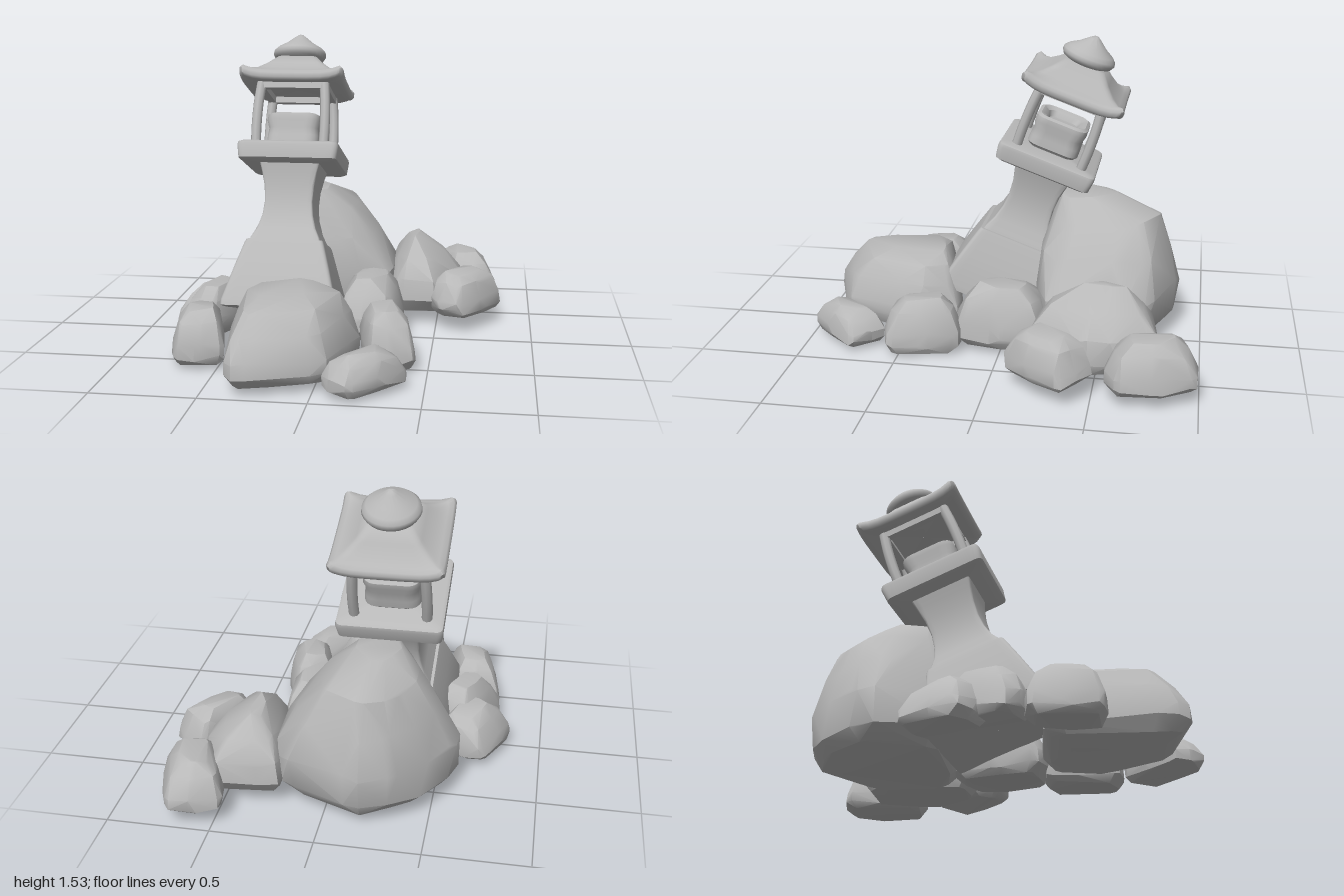
import * as THREE from 'three';
import { toCreasedNormals } from 'three/addons/utils/BufferGeometryUtils.js';
import { ConvexGeometry } from 'three/addons/geometries/ConvexGeometry.js';

const stone = new THREE.MeshStandardMaterial({ name: 'grey stone', color: 0xb8b8b8 });

function addMesh(parent, name, geometry, crease = 0.7) {
  const mesh = new THREE.Mesh(crease ? toCreasedNormals(geometry, crease) : geometry, stone);
  mesh.name = name;
  parent.add(mesh);
  return mesh;
}

// Stack of rounded squares; section = [y, half width, corner radius, corner lift]
function squareLoft(sections) {
  const pos = [], index = [];
  let n = 0;
  for (const [y, half, radius = 0.02, lift = 0] of sections) {
    const r = Math.min(radius, half * 0.5), c = half - r, ring = [];
    for (let s = 0; s < 4; s++) {
      const side = [];
      for (const t of [-0.85, -0.65, -0.35, 0, 0.35, 0.65, 0.85]) side.push([half, c * t]);
      for (let k = 0; k <= 4; k++) {
        const a = (k / 4) * Math.PI / 2;
        side.push([c + r * Math.cos(a), c + r * Math.sin(a)]);
      }
      const co = [1, 0, -1, 0][s], si = [0, 1, 0, -1][s];
      for (const [x, z] of side) ring.push([x * co - z * si, x * si + z * co]);
    }
    n = ring.length;
    for (const [x, z] of ring) {
      pos.push(x, y + lift * (Math.min(Math.abs(x), Math.abs(z)) / half) ** 5, z);
    }
  }
  for (let i = 0; i < sections.length - 1; i++) {
    for (let j = 0; j < n; j++) {
      const a = i * n + j, b = i * n + (j + 1) % n;
      index.push(a, a + n, b, b, a + n, b + n);
    }
  }
  const g = new THREE.BufferGeometry();
  g.setAttribute('position', new THREE.Float32BufferAttribute(pos, 3));
  g.setIndex(index);
  return g;
}

function seededRandom(seed) {
  let s = seed * 7919 + 17;
  return () => ((s = (s * 16807) % 2147483647) / 2147483647) - 0.5;
}

// Boulder: hull of a softened ground outline repeated at rings [y, x scale, z scale, dx, dz]
function boulder(outline, rings, seed) {
  const rnd = seededRandom(seed);
  const cx = outline.reduce((t, p) => t + p[0], 0) / outline.length;
  const cz = outline.reduce((t, p) => t + p[1], 0) / outline.length;
  const soft = [];
  outline.forEach((p, i) => {
    const q = outline[(i + 1) % outline.length];
    for (const t of [0.14, 0.86]) soft.push([p[0] + (q[0] - p[0]) * t, p[1] + (q[1] - p[1]) * t]);
  });
  const pts = [];
  for (const [y, sx, sz, dx = 0, dz = 0] of rings) {
    for (const [x, z] of soft) {
      const k = 1 + rnd() * 0.06;
      pts.push(new THREE.Vector3(cx + dx + (x - cx) * sx * k, y + rnd() * 0.03, cz + dz + (z - cz) * sz * k));
    }
  }
  return new ConvexGeometry(pts);
}

// Small rock: uneven turned block between two heights, its top shifted sideways by lean
function smallRock(cx, cz, hx, hz, turn, bottom, top, lean, seed) {
  const rnd = seededRandom(seed + 40);
  const outline = [];
  for (let k = 0; k < 8; k++) {
    const a = k * Math.PI / 4, r = (k % 2 ? 1.3 : 1.03) * (1 + rnd() * 0.12);
    const u = hx * r * Math.cos(a), v = hz * r * Math.sin(a);
    outline.push([cx + u * Math.cos(turn) - v * Math.sin(turn), cz + u * Math.sin(turn) + v * Math.cos(turn)]);
  }
  const h = top - bottom;
  const rings = [[0.05, 0.86], [0.16, 1.01], [0.4, 1], [0.75, 0.8], [0.94, 0.5]];
  return boulder(outline, rings.map(([t, k]) => [bottom + h * t, k, k, lean * t]), seed);
}

function buildLantern() {
  const lantern = new THREE.Group();
  lantern.name = 'leaningLantern';
  lantern.position.set(-0.252, 0.9, -0.18);
  lantern.rotation.x = -20 * Math.PI / 180;

  addMesh(lantern, 'base', squareLoft([
    [-0.8, 0.002], [-0.8, 0.288], [-0.77, 0.287], [-0.6, 0.24], [-0.475, 0.203], [-0.455, 0.195], [-0.455, 0.002]]), 0.6);
  addMesh(lantern, 'pillar', squareLoft([
    [-0.47, 0.185, 0.012], [-0.44, 0.175, 0.012], [-0.39, 0.15, 0.012], [-0.32, 0.131, 0.012], [-0.25, 0.124, 0.012],
    [-0.17, 0.129, 0.012], [-0.1, 0.143, 0.012], [-0.04, 0.158, 0.012]]), 0.6);
  addMesh(lantern, 'platform', squareLoft([
    [-0.055, 0.002], [-0.055, 0.235, 0.03], [-0.045, 0.252, 0.03], [0.02, 0.26, 0.03],
    [0.036, 0.256, 0.03], [0.044, 0.242, 0.03], [0.044, 0.002]]));

  // Corner posts and the beams joining them
  for (const sx of [-1, 1]) {
    for (const sz of [-1, 1]) {
      const path = new THREE.CatmullRomCurve3([[0.175, 0.03], [0.177, 0.14], [0.173, 0.26], [0.163, 0.37]]
        .map(([r, y]) => new THREE.Vector3(sx * r, y, sz * r)));
      addMesh(lantern, 'post', new THREE.TubeGeometry(path, 10, 0.026, 8), 0);
    }
  }
  for (let i = 0; i < 4; i++) {
    const beam = addMesh(lantern, 'beam', new THREE.BoxGeometry(0.35, 0.035, 0.04));
    const a = i * Math.PI / 2;
    beam.position.set(Math.sin(a) * 0.165, 0.35, Math.cos(a) * 0.165);
    beam.rotation.y = a;
  }

  // Hollowed lamp block inside
  addMesh(lantern, 'lampBowl', squareLoft([
    [0.035, 0.002], [0.035, 0.115, 0.05], [0.06, 0.137, 0.06], [0.1, 0.135, 0.06], [0.14, 0.13, 0.06], [0.18, 0.14, 0.06],
    [0.208, 0.137, 0.06], [0.218, 0.12, 0.05], [0.205, 0.09, 0.04], [0.175, 0.075, 0.03], [0.17, 0.002]]));

  addMesh(lantern, 'roof', squareLoft([
    [0.365, 0.002], [0.365, 0.17, 0.03], [0.355, 0.23, 0.03, 0.015], [0.355, 0.257, 0.03, 0.03],
    [0.368, 0.269, 0.03, 0.035], [0.39, 0.271, 0.03, 0.038], [0.405, 0.26, 0.03, 0.036], [0.415, 0.235, 0.03, 0.015],
    [0.44, 0.195, 0.03], [0.478, 0.15, 0.03], [0.525, 0.105, 0.03], [0.525, 0.002]]), 0.9);

  const profile = [[0, 0.5], [0.1, 0.5], [0.1, 0.523], [0.128, 0.535], [0.14, 0.555], [0.137, 0.573],
    [0.118, 0.592], [0.075, 0.618], [0.03, 0.655], [0.012, 0.668], [0, 0.671]];
  addMesh(lantern, 'finial', new THREE.LatheGeometry(profile.map(p => new THREE.Vector2(...p)), 32), 0.9);
  return lantern;
}

export function createModel() {
  const model = new THREE.Group();
  model.name = 'ruinedStoneLantern';
  model.add(buildLantern());

  // Three large boulders
  addMesh(model, 'backBoulder', boulder(
    [[-0.16, -0.88], [0.22, -0.74], [0.27, -0.6], [0.27, -0.24], [0.1, -0.15],
      [-0.45, -0.1], [-0.61, -0.38], [-0.6, -0.5], [-0.47, -0.69], [-0.34, -0.81]],
    [[0.05, 0.82, 0.82], [0.12, 0.97, 0.97], [0.28, 0.98, 1], [0.46, 0.76, 0.9],
      [0.62, 0.52, 0.72, -0.01], [0.72, 0.25, 0.4, -0.03, 0.11]], 1), 0.55);
  addMesh(model, 'frontBoulder', boulder(
    [[-0.49, 0.35], [0, 0.25], [0.1, 0.26], [0.18, 0.45], [0.14, 0.58], [0.05, 0.88], [-0.34, 1], [-0.4, 0.94]],
    [[0.015, 0.6, 0.6], [0.04, 0.88, 0.88], [0.09, 1, 1], [0.15, 0.98, 0.98], [0.26, 0.86, 0.88, -0.01, -0.01],
      [0.34, 0.68, 0.7, -0.02, -0.04], [0.385, 0.42, 0.44, -0.05, -0.08]], 2), 0.55);
  addMesh(model, 'rightBoulder', boulder(
    [[0.2, -0.76], [0.34, -0.79], [0.55, -0.8], [0.62, -0.6], [0.63, -0.45], [0.52, -0.19], [0.29, -0.19], [0.22, -0.4]],
    [[0.08, 0.85, 0.85], [0.14, 1, 1], [0.24, 0.94, 0.98], [0.34, 0.62, 0.74, -0.02], [0.43, 0.15, 0.34, -0.06, -0.02]], 3), 0.55);

  // Small rocks: centre x and z, half sizes, turn, bottom and top heights, lean
  const rocks = {
    farRightRock: [0.64, -0.775, 0.14, 0.205, -0.25, 0.05, 0.3, -0.02],
    outerRightRock: [0.655, -0.285, 0.12, 0.2, 0.64, 0.08, 0.3, -0.02],
    innerRightRock: [0.18, 0.01, 0.155, 0.23, 0.05, 0.03, 0.345, 0],
    frontRightRock: [0.3, 0.39, 0.12, 0.19, -0.2, 0.01, 0.29, -0.02],
    frontLowRock: [0.23, 0.8, 0.11, 0.2, 0.75, 0.02, 0.195, 0],
    frontLeftRock: [-0.62, 0.49, 0.125, 0.175, -0.2, 0.02, 0.29, 0.02],
    innerLeftRock: [-0.62, 0.12, 0.11, 0.2, 0.42, 0.04, 0.31, 0.03],
    outerLeftRock: [-0.69, -0.05, 0.125, 0.18, 0.4, 0.02, 0.25, 0.06],
  };
  Object.entries(rocks).forEach(([name, size], i) => addMesh(model, name, smallRock(...size, i + 4), 0.55));
  return model;
}
